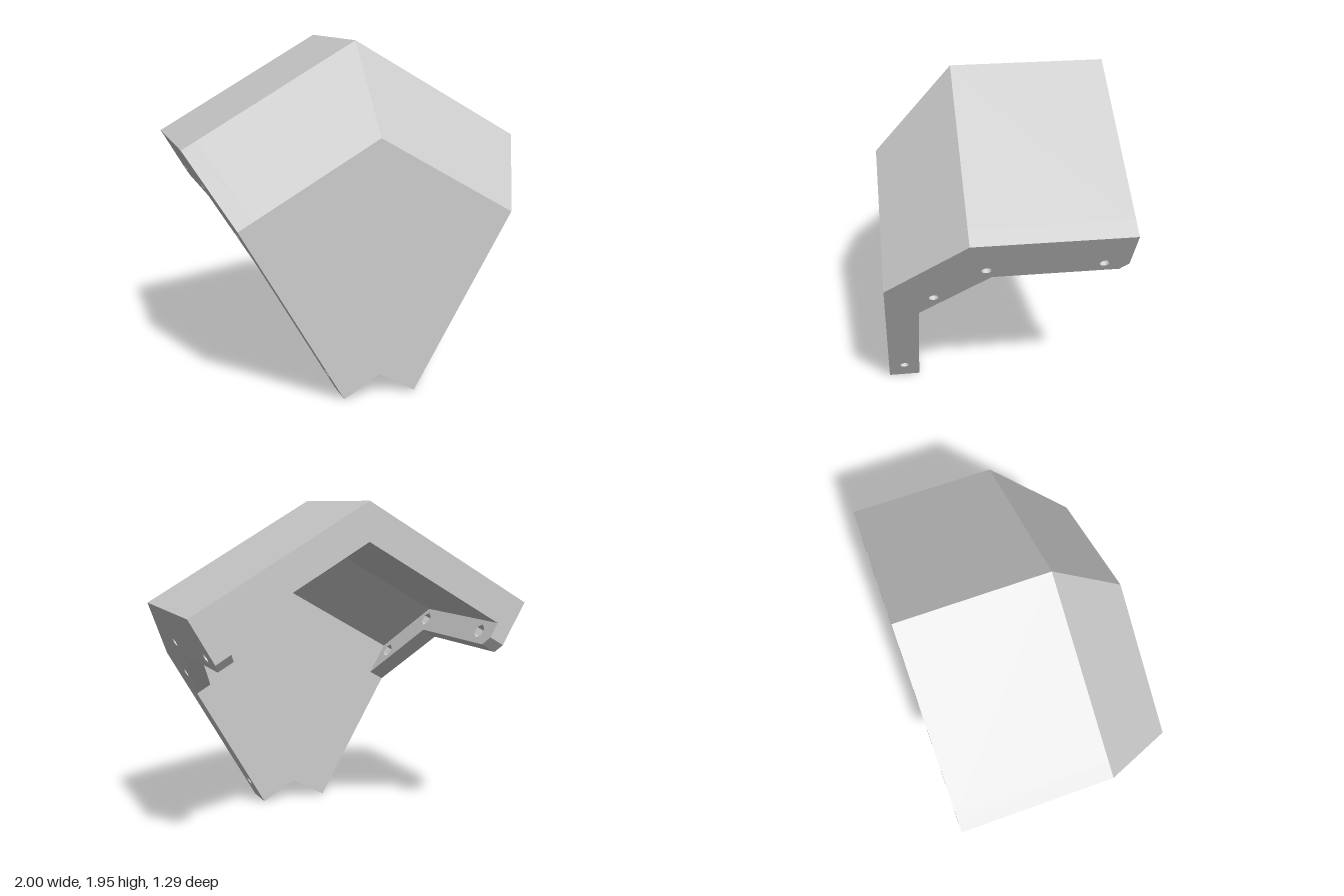
import * as THREE from 'three';

// Each half is a bent wall lying square to its slanted side face.
// Local axes: u runs up the side face, z is depth, n points out of the side face.
const SIDE = 0.1805; // n of the side face
const RIM = 0.1;     // width of the flange strip
const C = Math.cos(Math.PI / 6), S = 0.5;

const toWorld = new THREE.Matrix4().makeBasis(
  new THREE.Vector3(S, C, 0), new THREE.Vector3(0, 0, 1), new THREE.Vector3(C, -S, 0));

// outer line of the wall, as [u, z]
const outer = [[0.104, 0.645], [1.262, 0.645], [1.69, 0.21], [1.69, -0.645]];
const wallInner = [[1.504, -0.645], [1.504, 0.135], [1.185, 0.46], [0.104, 0.46]];
const rimInner = [[1.411, -0.645], [1.359, -0.6], [1.359, 0.08], [0.984, 0.46], [0.104, 0.46]];

// bolt holes [u, z]; those in the flange have a hexagonal nut pocket behind them
const flangeHoles = [[1.434, -0.51], [1.434, 0.11], [1.163, 0.38]];
const plateHole = [0.251, 0.55];

const outline = (pts) => new THREE.Shape(pts.map(([u, z]) => new THREE.Vector2(u, z)));

function ring([u, z], radius, sides) {
  const pts = [];
  for (let i = 0; i < sides; i++) {
    const a = (i / sides) * Math.PI * 2;
    pts.push(new THREE.Vector2(u + radius * Math.cos(a), z + radius * Math.sin(a)));
  }
  return new THREE.Path(pts);
}

function slab(shape, depth, start) {
  const g = new THREE.ExtrudeGeometry(shape, { depth, bevelEnabled: false });
  return g.translate(0, 0, start);
}

// Mirror in x and reverse the corner order
function mirrored(geometry) {
  const g = geometry.clone().scale(-1, 1, 1);
  const p = g.attributes.position;
  const a = new THREE.Vector3(), b = new THREE.Vector3();
  for (let i = 0; i < p.count; i += 3) {
    a.fromBufferAttribute(p, i + 1);
    b.fromBufferAttribute(p, i + 2);
    p.setXYZ(i + 1, b.x, b.y, b.z);
    p.setXYZ(i + 2, a.x, a.y, a.z);
  }
  g.computeVertexNormals();
  return g;
}

export function createModel() {
  const model = new THREE.Group();
  model.name = 'cornerBracket';
  const material = new THREE.MeshStandardMaterial({ color: 0xcccccc });

  // wall: one end is mitred to the centre plane x = 0
  const wall = slab(outline([...outer, ...wallInner]), 1, 0);
  const p = wall.attributes.position;
  for (let i = 0; i < p.count; i++) {
    p.setZ(i, p.getZ(i) < 0.5 ? -p.getX(i) * S / C : SIDE - RIM);
  }

  // outer half of the flange strip with round holes
  const face = outline([...outer, ...rimInner]);
  face.holes = [...flangeHoles, plateHole].map((h) => ring(h, 0.027, 20));

  // inner half of the flange strip with nut pockets
  const back = outline([...outer, ...rimInner]);
  back.holes = [...flangeHoles.map((h) => ring(h, 0.042, 6)), ring(plateHole, 0.027, 20)];

  const parts = {
    Wall: wall,
    FlangeFace: slab(face, RIM / 2, SIDE - RIM / 2),
    FlangeBack: slab(back, RIM / 2, SIDE - RIM),
  };

  for (const [name, geometry] of Object.entries(parts)) {
    geometry.applyMatrix4(toWorld);
    geometry.computeVertexNormals();
    const left = new THREE.Mesh(geometry, material);
    left.name = 'left' + name;
    const right = new THREE.Mesh(mirrored(geometry), material);
    right.name = 'right' + name;
    model.add(left, right);
  }
  return model;
}
